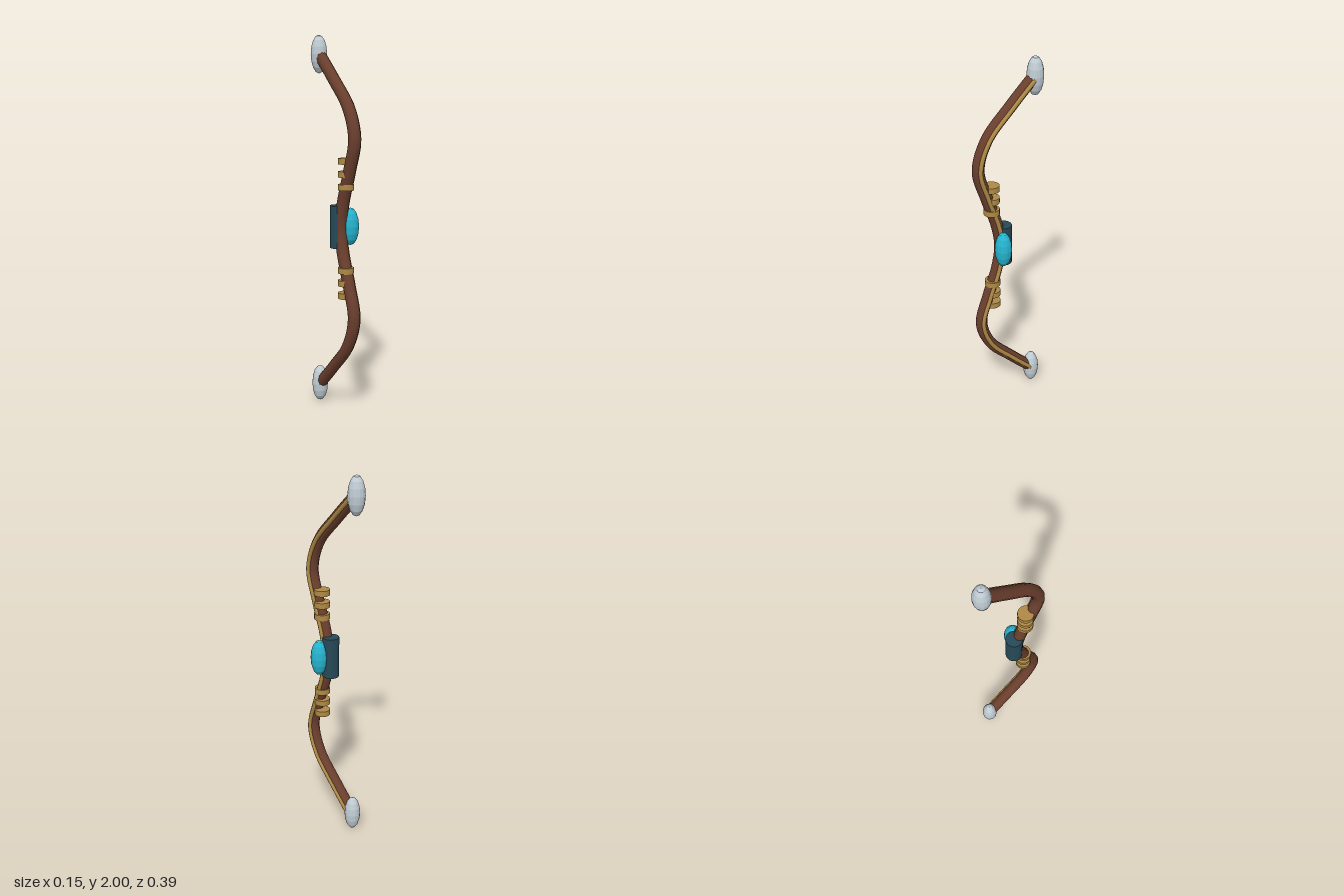
import * as THREE from 'three';

const X = -0.028; // bow plane

const mat = (color, flatShading = false) => new THREE.MeshStandardMaterial({ color, flatShading });

export function createModel() {
  const bow = new THREE.Group();
  bow.name = 'recurveBow';
  const wood = mat(0x6b3f2e);
  const gold = mat(0xb08a45);
  const silver = mat(0xc0ccd4, true);
  const teal = mat(0x264a58);
  const cyan = mat(0x25b5d0, true);

  const add = (name, geometry, material, x, y, z) => {
    const mesh = new THREE.Mesh(geometry, material);
    mesh.name = name;
    mesh.position.set(x, y, z);
    bow.add(mesh);
    return mesh;
  };

  // Limb profile as [height from the middle, z], mirrored below the grip
  const upper = [[0.13, 0.065], [0.3, 0.122], [0.465, 0.166], [0.62, 0.115], [0.77, -0.02], [0.9, -0.15]];
  const points = [
    ...upper.map(([h, z]) => new THREE.Vector3(0, 1 - h, z)).reverse(),
    new THREE.Vector3(0, 1, 0.045),
    ...upper.map(([h, z]) => new THREE.Vector3(0, 1 + h, z)),
  ];
  const curve = new THREE.CatmullRomCurve3(points);
  add('limbs', new THREE.TubeGeometry(curve, 80, 0.032, 10), wood, X, 0, 0);

  // Gold inlay along the left face
  add('inlay', new THREE.TubeGeometry(curve, 80, 0.012, 8), gold, 0, 0, 0);

  // Grip and gem
  add('grip', new THREE.CylinderGeometry(0.045, 0.045, 0.225, 16), teal, X, 1.005, 0.025);
  const ball = new THREE.SphereGeometry(1, 16, 8);
  add('gem', ball, cyan, 0.027, 1.005, 0.056).scale.set(0.046, 0.1, 0.046);

  // Binding rings and tip caps, mirrored above and below
  const ring = new THREE.CylinderGeometry(0.042, 0.042, 0.031, 16);
  for (const side of [1, -1]) {
    const prefix = side > 0 ? 'upper' : 'lower';
    [0.218, 0.285, 0.352].forEach((h, i) => add(`${prefix}Ring${i + 1}`, ring, gold, X, 1 + side * h, 0.093));
    add(`${prefix}Tip`, ball, silver, X, 1 + side * 0.9, -0.155).scale.set(0.044, 0.1, 0.044);
  }
  return bow;
}
